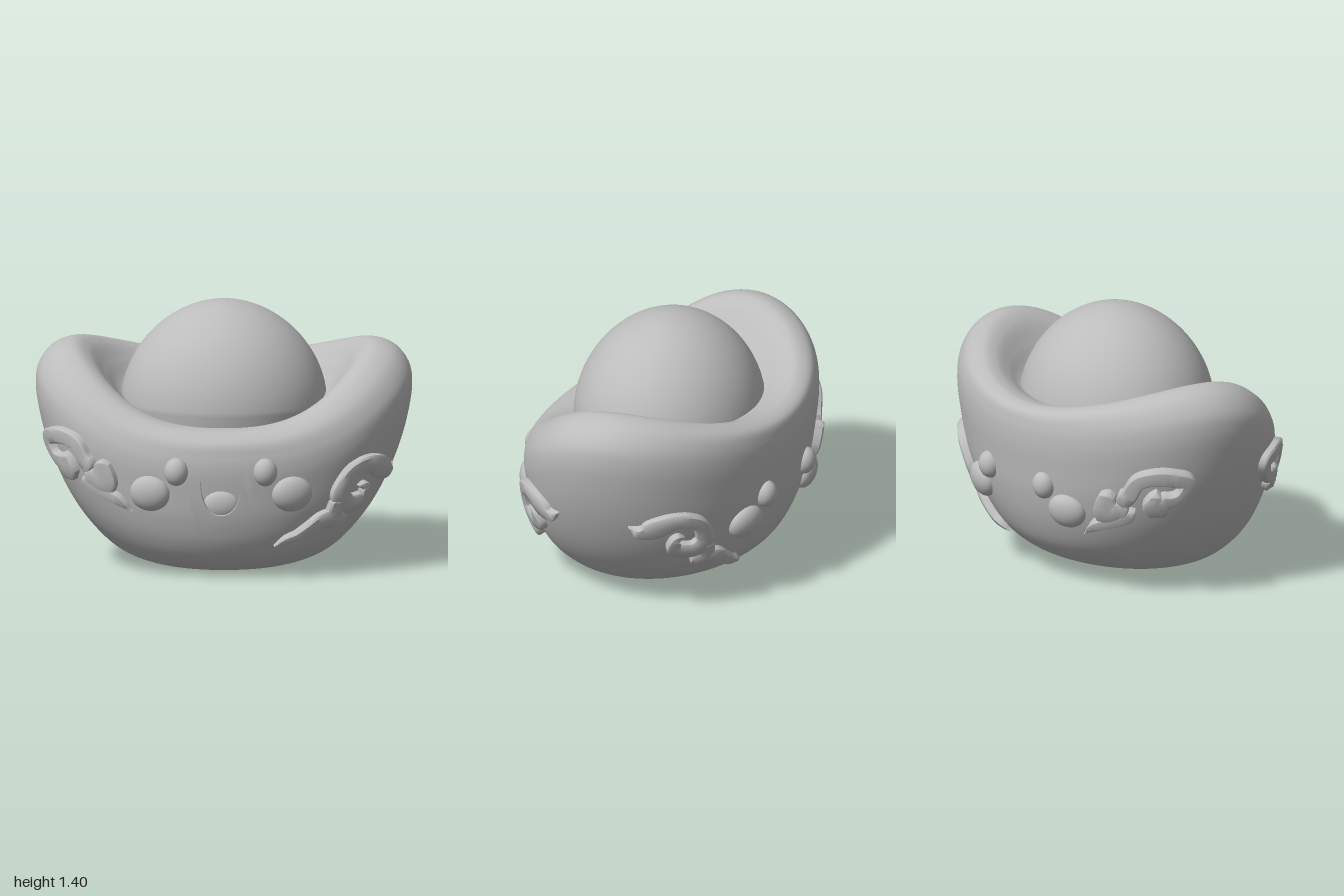
import * as THREE from 'three';
import { toCreasedNormals } from 'three/addons/utils/BufferGeometryUtils.js';

const V = (x, y, z = 0) => new THREE.Vector3(x, y, z);
const curve = pts => new THREE.CatmullRomCurve3(pts.map(p => V(...p)));

// Half-profiles of the ingot (radius, height): base, wall, lip, inner bowl
const sideProfile = curve([[0, .02], [.3, .02], [.45, .04], [.59, .105], [.715, .23], [.822, .385], [.915, .585], [.972, .77],
  [1, .95], [.985, 1.05], [.91, 1.14], [.8, 1.17], [.72, 1.13], [.63, 1.02], [.55, .92], [.45, .86]]);
const frontProfile = curve([[0, .02], [.25, .02], [.36, .03], [.468, .07], [.567, .145], [.636, .26], [.682, .41], [.703, .56],
  [.715, .69], [.71, .78], [.69, .85], [.63, .886], [.575, .888], [.525, .88], [.49, .868], [.42, .85]]);

// Point on the ingot: t is the angle around (0 = +x, PI/2 = front), s runs along the profile
function surf(t, s) {
  const a = sideProfile.getPoint(s), b = frontProfile.getPoint(s);
  const c = Math.cos(t), sn = Math.sin(t), up = Math.min(1, s / .6);
  const z = b.x * sn + up * (.025 * c * c - .007);
  return V(a.x * c, b.y + (a.y - b.y) * Math.abs(c) ** (2.5 + .5 * sn) - (.06 + .105 * up) * z, z);
}
function normalAt(t, s) {
  if (s < .02) return V(0, -1, -.06).normalize();
  const e = .002, s0 = Math.max(0, s - e), s1 = Math.min(1, s + e);
  const ds = surf(t, s1).sub(surf(t, s0)), dt = surf(t + e, s).sub(surf(t - e, s));
  return ds.cross(dt).normalize();
}
// Profile parameter of the outer wall at a given height
function locate(t, y) {
  let lo = .05, hi = .64;
  for (let i = 0; i < 22; i++) {
    const m = (lo + hi) / 2;
    if (surf(t, m).y < y) lo = m; else hi = m;
  }
  return (lo + hi) / 2;
}
function buildGeometry(points, index, normals) {
  const g = new THREE.BufferGeometry().setFromPoints(points);
  g.setIndex(index);
  if (normals) g.setAttribute('normal', new THREE.Float32BufferAttribute(normals.flatMap(n => n.toArray()), 3));
  else g.computeVertexNormals();
  return g;
}

// Ingot shell on a grid, leaving a window for the mouth
const NT = 144, NS = 75, T0 = 32, T1 = 40, S0 = 27, S1 = 42;
const gridT = i => i / NT * Math.PI * 2, gridS = j => j / NS;
function shellGeometry() {
  const pts = [], nor = [], idx = [];
  for (let j = 0; j <= NS; j++) for (let i = 0; i < NT; i++) {
    pts.push(surf(gridT(i), gridS(j)));
    nor.push(normalAt(gridT(i), gridS(j)));
  }
  for (let j = 0; j < NS; j++) for (let i = 0; i < NT; i++) {
    if (i >= T0 && i < T1 && j >= S0 && j < S1) continue;
    const k = (i + 1) % NT, a = j * NT + i, b = j * NT + k;
    idx.push(a, a + NT, b, b, a + NT, b + NT);
  }
  return buildGeometry(pts, idx, nor);
}

// Flat shape in (-angle, profile) space wrapped onto the shell, optionally sunk inward
function wrapShape(shape, inset = 0) {
  const g = new THREE.ShapeGeometry(shape), p = g.attributes.position, n = g.attributes.normal;
  for (let i = 0; i < p.count; i++) {
    const t = Math.PI / 2 - p.getX(i), s = p.getY(i);
    const q = surf(t, s), m = normalAt(t, s);
    p.setXYZ(i, q.x, q.y, q.z - inset);
    n.setXYZ(i, m.x, m.y, m.z);
  }
  return g;
}

// Relief stroke following the shell; points are [degrees, height, half width]
function strokeGeometry(points, toAngle, lift) {
  const path = curve(points), n = points.length * 8;
  const section = [[-1, -.04], [-1, .03], [-.8, .04], [0, .045], [.8, .04], [1, .03], [1, -.04]];
  const at = u => {
    const p = path.getPoint(THREE.MathUtils.clamp(u, 0, 1));
    const t = toAngle(p.x * Math.PI / 180), s = locate(t, p.y);
    return { pos: surf(t, s), nor: normalAt(t, s), w: Math.max(0, p.z) };
  };
  const pts = [], idx = [], M = section.length;
  for (let k = 0; k <= n; k++) {
    const { pos, nor, w } = at(k / n);
    const along = at((k + .5) / n).pos.sub(at((k - .5) / n).pos).normalize();
    const across = nor.clone().cross(along).normalize();
    const width = w * Math.sqrt(Math.min(1, k / 5, (n - k) / 5));
    for (const [u, h] of section) {
      const height = h > 0 ? h * Math.min(1, .4 + width / .05) + lift : h;
      pts.push(pos.clone().addScaledVector(across, u * width).addScaledVector(nor, height));
    }
    if (k < n) for (let m = 0; m < M - 1; m++) {
      const a = k * M + m, b = a + M;
      idx.push(a, b, a + 1, b, b + 1, a + 1);
    }
  }
  return toCreasedNormals(buildGeometry(pts, idx), .7);
}

const leafCloud = [
  [[17, .57, 0], [22, .54, .04], [28, .56, .064], [35, .595, .052], [42, .592, .042], [47, .54, .042], [48.5, .46, .055],
    [45, .4, .055], [39, .395, .05], [35, .425, .042], [36, .47, .03], [40, .48, .012]],
  [[49, .43, .04], [49, .37, .045], [47, .32, .05]],
  [[42, .285, .04], [46, .31, .055], [53, .315, .048], [58, .27, .038], [62, .235, .03], [66, .215, .022], [70, .18, 0]]];
const curlCloud = [
  [[33, .65, .012], [33, .615, .04], [29, .59, .045], [23, .63, .03], [21, .69, .04], [27, .725, .045], [35, .73, .042],
    [41, .69, .042], [43, .625, .045], [47, .575, .05]],
  [[51, .635, .035], [51, .585, .055], [46, .535, .05], [43, .505, .035]],
  [[40, .525, .02], [43, .495, .038], [49, .455, .035], [55, .42, .028], [59.5, .36, 0]]];

export function createModel() {
  const model = new THREE.Group();
  model.name = 'ingot';
  const grey = new THREE.MeshStandardMaterial({ color: 0xbcbcbc, side: THREE.DoubleSide });
  grey.name = 'grey';
  const add = (name, geometry, parent = model) => {
    const mesh = new THREE.Mesh(geometry, grey);
    mesh.name = name;
    parent.add(mesh);
    return mesh;
  };

  add('shell', shellGeometry());

  // Slightly pointed dome in the bowl
  const domeProfile = [new THREE.Vector2(.96, -.2)];
  for (let i = 0; i <= 32; i++) {
    const a = i / 32 * Math.PI / 2;
    domeProfile.push(new THREE.Vector2(Math.max(0, Math.cos(a)) ** 1.05, Math.sin(a) ** 1.05));
  }
  const dome = add('dome', new THREE.LatheGeometry(domeProfile, 64));
  dome.scale.set(.548, .55, .5);
  dome.position.set(0, .848, .012);

  // Open mouth: surround, wall, floor and tongue
  const outline = new THREE.Shape();
  outline.moveTo(-.085, .553);
  outline.quadraticCurveTo(0, .515, .085, .553);
  outline.quadraticCurveTo(.108, .56, .108, .53);
  outline.bezierCurveTo(.108, .41, .06, .35, 0, .35);
  outline.bezierCurveTo(-.06, .35, -.108, .41, -.108, .53);
  outline.quadraticCurveTo(-.108, .56, -.085, .553);
  const lips = outline.getPoints(12).slice(0, -1).map(p => {
    const s = locate(Math.PI / 2, p.y);
    return new THREE.Vector2(Math.asin(p.x / sideProfile.getPoint(s).x), s);
  });
  const frame = [];
  const corner = (i, j) => frame.push(new THREE.Vector2(Math.PI / 2 - gridT(i), gridS(j)));
  for (let i = T1; i > T0; i--) corner(i, S0);
  for (let j = S0; j < S1; j++) corner(T0, j);
  for (let i = T0; i < T1; i++) corner(i, S1);
  for (let j = S1; j > S0; j--) corner(T1, j);
  const surround = new THREE.Shape(frame);
  surround.holes.push(new THREE.Path(lips));
  add('mouthSurround', wrapShape(surround));
  const depth = .07, wall = [], wallIndex = [];
  lips.forEach((p, i) => {
    const q = surf(Math.PI / 2 - p.x, p.y), k = (i + 1) % lips.length;
    wall.push(q, q.clone().setZ(q.z - depth));
    wallIndex.push(2 * i, 2 * k, 2 * i + 1, 2 * k, 2 * k + 1, 2 * i + 1);
  });
  add('mouthWall', toCreasedNormals(buildGeometry(wall, wallIndex), .7));
  add('mouthFloor', wrapShape(new THREE.Shape(lips), depth));
  const tongue = add('tongue', new THREE.SphereGeometry(1, 28, 18));
  tongue.scale.set(.095, .075, .04);
  tongue.position.set(0, .4, .622);

  // Eyes, cheeks and clouds in all four quarters
  const quarters = [['frontLeft', a => a, leafCloud, 0], ['frontRight', a => Math.PI - a, curlCloud, 0],
    ['backLeft', a => -a, leafCloud, 0], ['backRight', a => Math.PI + a, curlCloud, .018]];
  for (const [quarter, toAngle, cloud, lift] of quarters) {
    for (const [part, deg, y, sx, sy, sz] of [['Eye', 76.3, .59, .064, .075, .058], ['Cheek', 67, .465, .11, .097, .062]]) {
      const t = toAngle(deg * Math.PI / 180), s = locate(t, y);
      const bead = add(quarter + part, new THREE.SphereGeometry(1, 32, 20));
      bead.scale.set(sx, sy, sz);
      bead.position.copy(surf(t, s));
      bead.lookAt(bead.position.clone().add(normalAt(t, s)));
    }
    const group = new THREE.Group();
    group.name = quarter + 'Cloud';
    model.add(group);
    cloud.forEach((stroke, i) => add('cloudStroke' + (i + 1), strokeGeometry(stroke, toAngle, lift), group));
  }
  return model;
}
